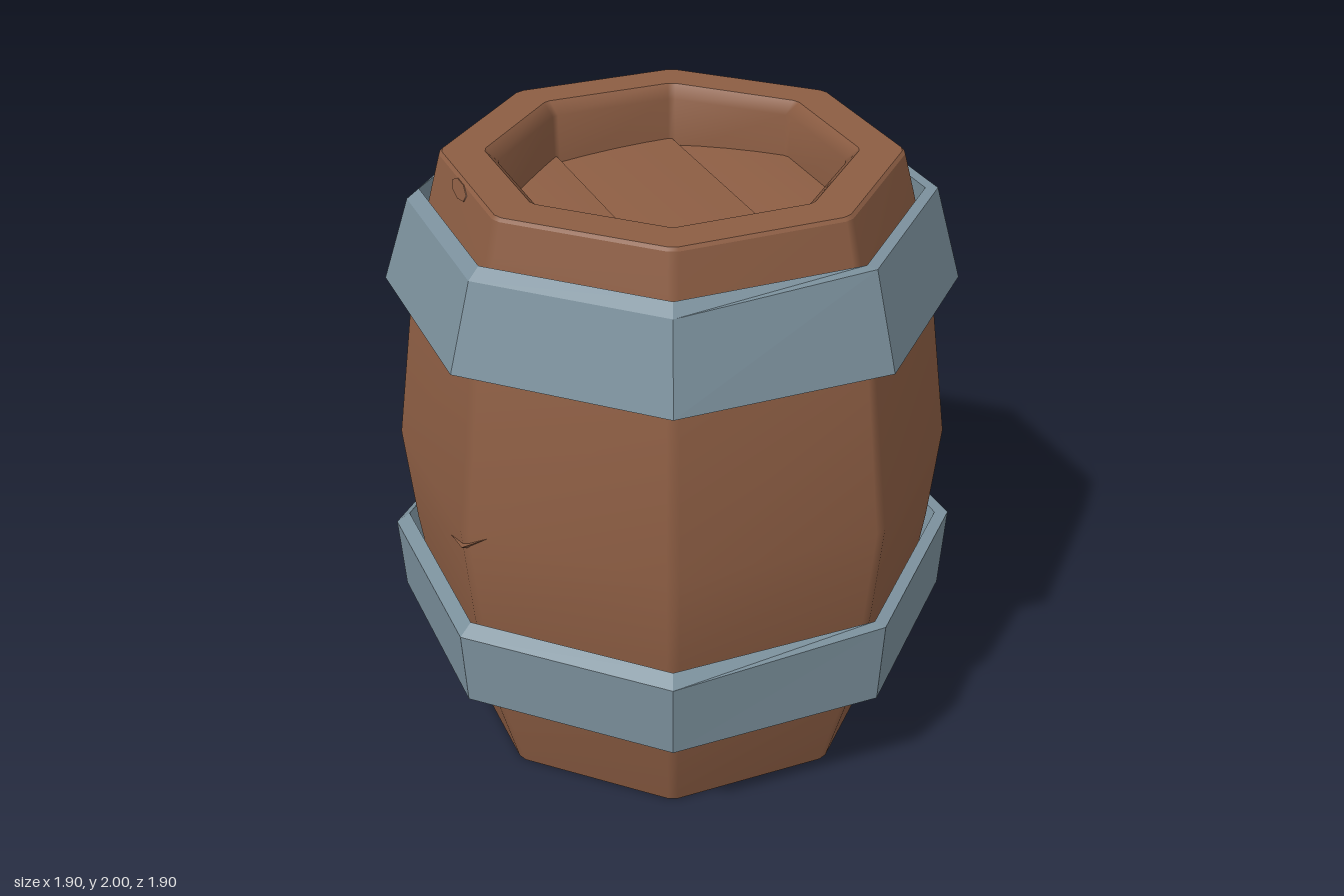
import * as THREE from 'three';

const wood = new THREE.MeshStandardMaterial({ color: 0x8c5d43, side: THREE.DoubleSide });
wood.name = 'brown wood';
const steel = new THREE.MeshStandardMaterial({ color: 0x7b909c });
steel.name = 'blue grey steel';

// Eight-sided outline with corners on the axes; bevel cuts each corner to a narrow strip
function octagon(bevel) {
  const corner = (i) => new THREE.Vector2(Math.sin(i * Math.PI / 4), Math.cos(i * Math.PI / 4));
  const pts = [];
  for (let i = 0; i < 8; i++) {
    const c = corner(i);
    if (bevel) pts.push(c.clone().lerp(corner(i + 7), bevel), c.clone().lerp(corner(i + 1), bevel));
    else pts.push(c);
  }
  return pts;
}
const staves = octagon(0.03);
const hoopShape = octagon(0);

// Grid of points to an indexed surface; rows run along the profile
function surface(rows, closed) {
  const n = rows[0].length, index = [];
  for (let j = 0; j < rows.length - 1; j++) {
    for (let i = 0; i < (closed ? n : n - 1); i++) {
      const k = (i + 1) % n, a = j * n + i, b = j * n + k;
      index.push(a, b, b + n, a, b + n, a + n);
    }
  }
  const geo = new THREE.BufferGeometry();
  geo.setAttribute('position', new THREE.Float32BufferAttribute(rows.flat(2), 3));
  geo.setIndex(index);
  geo.computeVertexNormals();
  return geo;
}

// Sweep a [radius, height] profile around an outline; drop lowers a row toward the front
function sweep(outline, profile) {
  return surface(profile.map(([r, y, drop = 0]) =>
    outline.map((p) => [p.x * r, y - (p.y > 0.1 ? drop : 0), p.y * r])), true);
}

function add(group, name, geo, mat) {
  const mesh = new THREE.Mesh(geo, mat);
  mesh.name = name;
  group.add(mesh);
  return mesh;
}

function flat(geo) {
  const g = geo.toNonIndexed();
  g.computeVertexNormals();
  return g;
}

// Hoop: four flat-faced strips around the barrel
function addHoop(parent, name, y0, y1, r0, r1, inner0, inner1) {
  const hoop = new THREE.Group();
  hoop.name = name;
  const ring = [[inner0, y0], [r0, y0], [r1, y1, 0.035], [inner1, y1], [inner0, y0]];
  add(hoop, name + 'Ring', flat(sweep(hoopShape, ring)), steel);
  parent.add(hoop);
}

// Raised splinter: a low pyramid over a triangle
function addSplinter(parent, name, a, b, c, peak) {
  const geo = new THREE.BufferGeometry();
  geo.setAttribute('position', new THREE.Float32BufferAttribute(
    [a, b, peak, b, c, peak, c, a, peak].flat(), 3));
  geo.computeVertexNormals();
  add(parent, name, geo, wood);
}

export function createModel() {
  const barrel = new THREE.Group();
  barrel.name = 'barrel';

  // Staves, rims and recessed base
  const body = new THREE.Group();
  body.name = 'body';
  barrel.add(body);
  const parts = {
    staveWall: [[0.725, 0], [0.836, 0.37], [0.88, 0.66], [0.915, 1], [0.84, 1.56], [0.762, 1.87], [0.73, 1.99]],
    rimEdge: [[0.73, 1.99], [0.72, 2]],
    topRim: [[0.72, 2], [0.585, 2]],
    innerWall: [[0.585, 2], [0.545, 1.96], [0.54, 1.77]],
    base: [[0, 0.06], [0.62, 0.06]],
    baseWall: [[0.62, 0.06], [0.635, 0]],
    bottomRim: [[0.635, 0], [0.725, 0]],
  };
  for (const [name, profile] of Object.entries(parts)) add(body, name, sweep(staves, profile), wood);

  // Lid of three gently curved planks, turned to follow the octagon
  const lid = new THREE.Group();
  lid.name = 'lid';
  const half = 0.5, side = half * (Math.SQRT2 - 1);
  [[-half, -side], [-side, side], [side, half]].forEach(([t0, t1], n) => {
    const rows = [];
    for (let i = 0; i <= 4; i++) {
      const s = i / 4, t = t1 + (t0 - t1) * s;
      const w = half - Math.max(0, Math.abs(t) - side);
      const y = 1.82 - 0.025 * (1 - s) ** 2;
      rows.push([[-w, y, t], [w, y, t]]);
    }
    add(lid, 'lidPlank' + (n + 1), surface(rows, false), wood);
  });
  lid.rotation.y = -Math.PI / 8;
  barrel.add(lid);

  // Metal hoops
  addHoop(barrel, 'upperHoop', 1.56, 1.87, 0.922, 0.835, 0.82, 0.795);
  addHoop(barrel, 'lowerHoop', 0.37, 0.66, 0.932, 0.95, 0.82, 0.905);

  // Splinters on the front staves
  addSplinter(barrel, 'middleSplinter', [-0.2, 0.87, 0.815], [0, 0.94, 0.9], [0.14, 1.04, 0.84], [0.01, 0.96, 0.93]);
  addSplinter(barrel, 'lowerSplinter', [-0.63, 0.14, 0.5], [-0.56, 0.11, 0.52], [-0.45, 0.18, 0.59], [-0.56, 0.14, 0.555]);

  // Knot in the upper edge
  const knot = add(barrel, 'knot', new THREE.CylinderGeometry(0.07, 0.075, 0.008, 7), wood);
  knot.scale.z = 0.4;
  knot.position.set(-0.29, 1.965, 0.615);
  knot.rotation.set(1.32, 0, 0.38, 'ZYX');
  knot.rotation.set(1.32, -0.39, 0, 'YXZ');
  return barrel;
}
